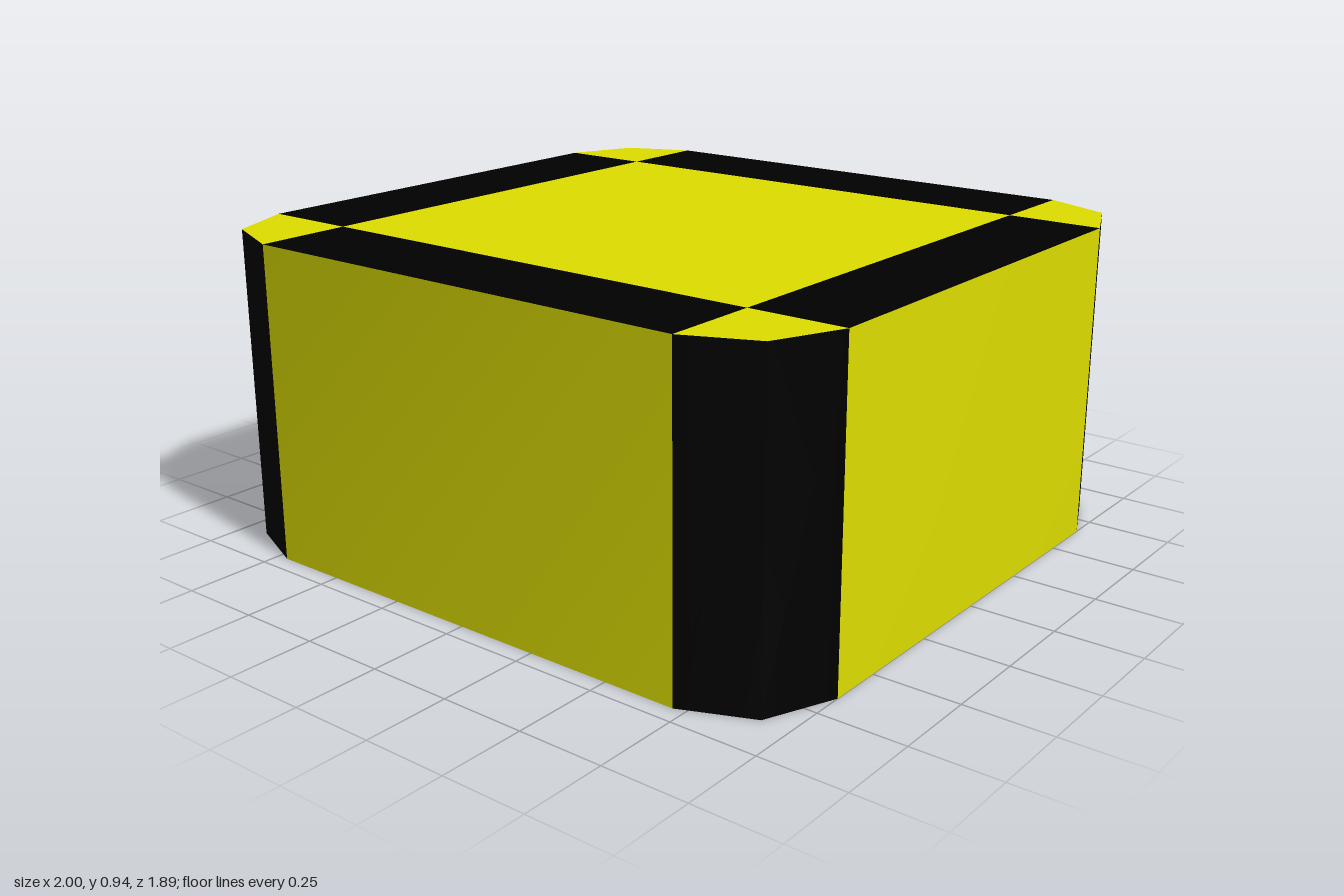
import * as THREE from 'three';

const H = 0.935;            // height
const X = 1, Z = 0.945;     // half extents
const IX = 0.715, IZ = 0.66; // where the flat sides end
const CX = 0.915, CZ = 0.86; // middle of each bevelled corner

const yellow = new THREE.MeshStandardMaterial({ color: 0xdddd00, side: THREE.DoubleSide });
const black = new THREE.MeshStandardMaterial({ color: 0x000000, side: THREE.DoubleSide });

function add(group, name, geometry, material) {
  const mesh = new THREE.Mesh(geometry, material);
  mesh.name = name;
  group.add(mesh);
}

// Flat patch of the top, outlined in x and z
function addPatch(group, name, points, material) {
  const shape = new THREE.Shape(points.map(([x, z]) => new THREE.Vector2(x, -z)));
  const geometry = new THREE.ShapeGeometry(shape).rotateX(-Math.PI / 2).translate(0, H, 0);
  add(group, name, geometry, material);
}

const rect = (x0, x1, z0, z1) => [[x0, z0], [x1, z0], [x1, z1], [x0, z1]];

// Open ring of walls; smooth normals run around it, split by colour
function addWalls(group) {
  const corner = [[X, IZ], [CX, CZ], [IX, Z]];
  const ring = [[1, 1], [-1, 1], [-1, -1], [1, -1]].flatMap(([sx, sz]) => {
    const pts = corner.map(([x, z]) => [x * sx, z * sz]);
    return sx * sz > 0 ? pts : pts.reverse();
  });
  const positions = ring.flatMap(([x, z]) => [x, 0, z, x, H, z]);
  const sides = [], corners = [];
  ring.forEach((_, i) => {
    const a = 2 * i, b = 2 * ((i + 1) % ring.length);
    (i % 3 === 2 ? sides : corners).push(a, a + 1, b, b, a + 1, b + 1);
  });
  const geometry = new THREE.BufferGeometry();
  geometry.setAttribute('position', new THREE.Float32BufferAttribute(positions, 3));
  geometry.setIndex([...sides, ...corners]);
  geometry.computeVertexNormals();
  add(group, 'sideWalls', geometry.clone().setIndex(sides), yellow);
  add(group, 'cornerWalls', geometry.clone().setIndex(corners), black);
}

export function createModel() {
  const model = new THREE.Group();
  model.name = 'openBox';
  addWalls(model);

  // Top: centre panel, four border strips, four corner pieces
  const top = new THREE.Group();
  top.name = 'top';
  addPatch(top, 'centrePanel', rect(-IX, IX, -IZ, IZ), yellow);
  addPatch(top, 'frontStrip', rect(-IX, IX, IZ, Z), black);
  addPatch(top, 'backStrip', rect(-IX, IX, -Z, -IZ), black);
  addPatch(top, 'leftStrip', rect(IX, X, -IZ, IZ), black);
  addPatch(top, 'rightStrip', rect(-X, -IX, -IZ, IZ), black);
  for (const sx of [1, -1]) for (const sz of [1, -1]) {
    const outline = [[IX, IZ], [X, IZ], [CX, CZ], [IX, Z]].map(([x, z]) => [x * sx, z * sz]);
    addPatch(top, `${sz > 0 ? 'front' : 'back'}${sx > 0 ? 'Left' : 'Right'}Corner`, outline, yellow);
  }
  model.add(top);
  return model;
}
